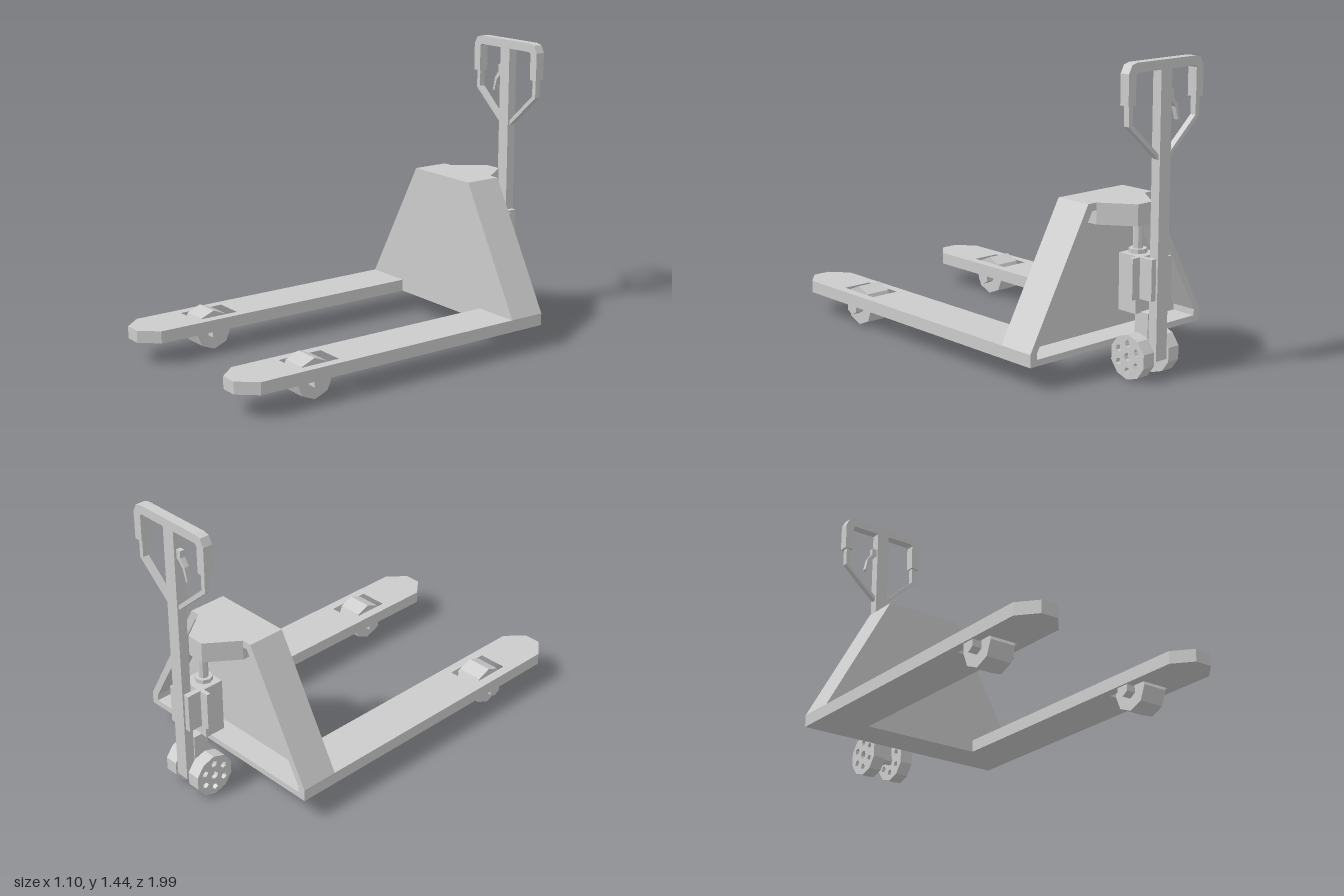
import * as THREE from 'three';

const material = new THREE.MeshStandardMaterial({ color: 0xcccccc, flatShading: true });

function add(parent, name, geometry, x = 0, y = 0, z = 0) {
  const mesh = new THREE.Mesh(geometry, material);
  mesh.name = name;
  mesh.position.set(x, y, z);
  parent.add(mesh);
  return mesh;
}

// Box given by its limits on each axis
function box(parent, name, x0, x1, y0, y1, z0, z1) {
  return add(parent, name, new THREE.BoxGeometry(x1 - x0, y1 - y0, z1 - z0),
    (x0 + x1) / 2, (y0 + y1) / 2, (z0 + z1) / 2);
}

const points = (list) => list.map(([x, y]) => new THREE.Vector2(x, y));

// Outline with holes, extruded along +z
function plate(outline, depth, holes = []) {
  const shape = new THREE.Shape(points(outline));
  holes.forEach((h) => shape.holes.push(new THREE.Path(points(h))));
  return new THREE.ExtrudeGeometry(shape, { depth, bevelEnabled: false });
}

// Mirrored outline: right half listed, left half added
const mirrored = (half) => [...half, ...half.slice().reverse().map(([x, y]) => [-x, y])];

// Regular polygon with its first corner at angle a
function ring(sides, r, a = 0, cx = 0, cy = 0) {
  return Array.from({ length: sides }, (_, i) => {
    const t = a + (i / sides) * Math.PI * 2;
    return [cx + r * Math.cos(t), cy + r * Math.sin(t)];
  });
}

// Faceted roller lying along x, centred on its origin, a corner pointing down
function roller(sides, r, width) {
  return plate(ring(sides, r, -Math.PI / 2), width).translate(0, 0, -width / 2).rotateY(Math.PI / 2);
}

export function createModel() {
  const model = new THREE.Group();
  model.name = 'palletTruck';

  // Body: tapered front wall with a deep rim open to the back
  const bodyOutline = mirrored([[0.55, 0.11], [0.55, 0.17], [0.205, 0.79]]);
  const recess = mirrored([[0.51, 0.14], [0.51, 0.17], [0.18, 0.755]]);
  const body = new THREE.Group();
  body.name = 'body';
  model.add(body);
  add(body, 'frontWall', plate(bodyOutline, 0.06), 0, 0, -0.6);
  add(body, 'rim', plate(bodyOutline, 0.13, [recess]), 0, 0, -0.73);

  // Bracket reaching back from the top of the body
  const bracket = mirrored([[0.155, 0.6], [0.155, 0.73], [0.045, 0.88]]);
  add(model, 'topBracket', plate(bracket, 0.1).rotateX(-Math.PI / 2), 0, 0.69, 0);

  // Forks with chamfered tips, roller wells and load rollers
  for (const s of [-1, 1]) {
    const fork = new THREE.Group();
    fork.name = s > 0 ? 'leftFork' : 'rightFork';
    fork.position.x = s * 0.43;
    model.add(fork);
    const blade = mirrored([[0.12, 0.54], [0.12, -0.91], [0.043, -1]]);
    const well = mirrored([[0.073, -0.46], [0.073, -0.69]]);
    add(fork, 'blade', plate(blade, 0.06, [well]).rotateX(-Math.PI / 2), 0, 0.11, 0);
    add(fork, 'loadRoller', roller(8, 0.098, 0.128), 0, 0.1, 0.587);
    add(fork, 'rollerAxle', roller(6, 0.038, 0.22), 0, 0.098, 0.587);
  }

  // Steering wheels with six pockets on each face
  const pockets = Array.from({ length: 6 }, (_, i) => {
    const t = (i / 6) * Math.PI * 2 + Math.PI / 6;
    return ring(5, 0.017, t, 0.063 * Math.cos(t), 0.063 * Math.sin(t));
  });
  for (const s of [-1, 1]) {
    const wheel = new THREE.Group();
    wheel.name = s > 0 ? 'leftSteerWheel' : 'rightSteerWheel';
    wheel.position.set(s * 0.08, 0.105, -0.893);
    model.add(wheel);
    const tyre = plate(ring(10, 0.105, -Math.PI / 2), 0.066, [...pockets, ring(8, 0.02)]);
    add(wheel, 'tyre', tyre.translate(0, 0, -0.033).rotateY(Math.PI / 2));
    add(wheel, 'web', roller(10, 0.09, 0.02));
  }
  add(model, 'steerAxle', roller(8, 0.025, 0.14), 0, 0.105, -0.893);

  // Hydraulic pump, mounting plate, yoke and lifting rod
  const pump = new THREE.Group();
  pump.name = 'pump';
  model.add(pump);
  box(pump, 'pumpBlock', -0.065, 0.065, 0.295, 0.56, -0.893, -0.787);
  box(pump, 'mountingPlate', -0.11, 0.11, 0.37, 0.56, -0.914, -0.893);
  for (const s of [-1, 1]) {
    box(pump, 'yokeCheek', s * 0.05 - 0.014, s * 0.05 + 0.014, 0.37, 0.56, -0.985, -0.914);
  }
  add(pump, 'collar', new THREE.CylinderGeometry(0.042, 0.042, 0.02, 8), 0, 0.57, -0.84);
  add(pump, 'liftRod', new THREE.CylinderGeometry(0.023, 0.023, 0.13, 8), 0, 0.635, -0.84);
  box(pump, 'steeringPost', -0.034, 0.034, 0.09, 0.3, -0.94, -0.86);

  // Tiller: pole, looped grip, braces and release lever
  const tiller = new THREE.Group();
  tiller.name = 'tiller';
  model.add(tiller);
  box(tiller, 'pole', -0.034, 0.034, 0.09, 1.4, -0.993, -0.945);
  const grip = mirrored([[0.18, 1.397], [0.19, 1.388], [0.19, 1.258], [0.235, 1.258],
    [0.235, 1.395], [0.215, 1.432], [0.185, 1.44]]);
  add(tiller, 'grip', plate(grip, 0.049), 0, 0, -0.994);
  const brace = [[0.03, 1.0], [0.222, 1.167], [0.222, 1.26], [0.199, 1.26], [0.199, 1.175], [0.03, 1.024]];
  for (const s of [-1, 1]) {
    const outline = brace.map(([x, y]) => [s * x, y]);
    add(tiller, s > 0 ? 'leftBrace' : 'rightBrace', plate(outline, 0.03), 0, 0, -0.985);
  }
  const lever = [[-0.03, 1.305], [-0.06, 1.305], [-0.06, 1.27], [-0.086, 1.235],
    [-0.1, 1.17], [-0.09, 1.165], [-0.072, 1.225], [-0.03, 1.27]];
  add(tiller, 'releaseLever', plate(lever, 0.024), 0, 0, -0.981);

  return model;
}
